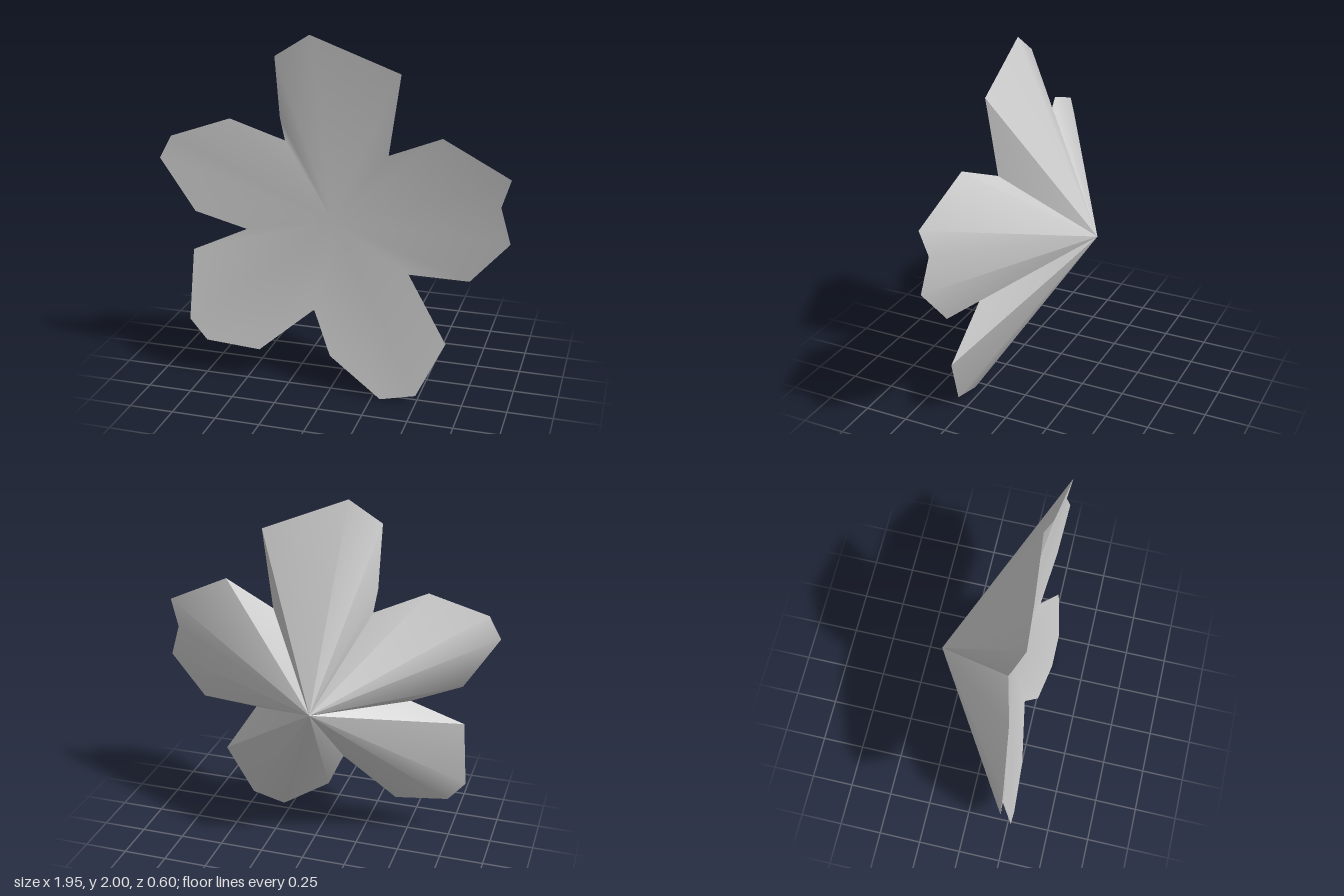
import * as THREE from 'three';
import { toCreasedNormals } from 'three/addons/utils/BufferGeometryUtils.js';

// Petal outlines, counterclockwise seen from the front; each starts at its notch
const petals = [
  [[0.29, 1.36, 0.13], [0.36, 1.81, 0.16], [-0.12, 2, 0.21], [-0.31, 1.88, 0.22], [-0.31, 1.53, 0.15]],
  [[-0.29, 1.4, 0.13], [-0.58, 1.52, 0.2], [-0.91, 1.41, 0.245], [-0.98, 1.28, 0.25], [-0.79, 0.98, 0.23]],
  [[-0.51, 0.88, 0.17], [-0.81, 0.75, 0.23], [-0.83, 0.34, 0.28], [-0.73, 0.22, 0.28], [-0.42, 0.19, 0.26]],
  [[-0.11, 0.45, 0.2], [0, 0.21, 0.265], [0.3, 0, 0.3], [0.5, 0.05, 0.3], [0.65, 0.36, 0.25]],
  [[0.42, 0.71, 0.17], [0.76, 0.72, 0.2], [0.97, 0.96, 0.22], [0.91, 1.15, 0.2], [0.96, 1.31, 0.22], [0.59, 1.49, 0.18]],
];

// Triangle fan from a hub to the closed rim
function fan(hub, rim, reversed) {
  const index = [];
  const n = rim.length;
  for (let i = 0; i < n; i++) {
    const a = 1 + i;
    const b = 1 + ((i + 1) % n);
    index.push(0, ...(reversed ? [b, a] : [a, b]));
  }
  const geometry = new THREE.BufferGeometry();
  geometry.setAttribute('position', new THREE.Float32BufferAttribute([hub, ...rim].flat(), 3));
  geometry.setIndex(index);
  geometry.computeVertexNormals();
  return geometry;
}

export function createModel() {
  const model = new THREE.Group();
  model.name = 'flower';
  const petalGrey = new THREE.MeshStandardMaterial({ color: 0xcccccc });
  petalGrey.name = 'petalGrey';
  const rim = petals.flat();

  // Shallow dished front of the blossom
  const front = new THREE.Mesh(fan([-0.03, 0.95, 0.1], rim, false), petalGrey);
  front.name = 'blossomFront';

  // Back of the petals, gathered to a point
  const back = new THREE.Mesh(toCreasedNormals(fan([-0.06, 0.94, -0.3], rim, true), 0.7), petalGrey);
  back.name = 'blossomBack';

  model.add(front, back);
  return model;
}
